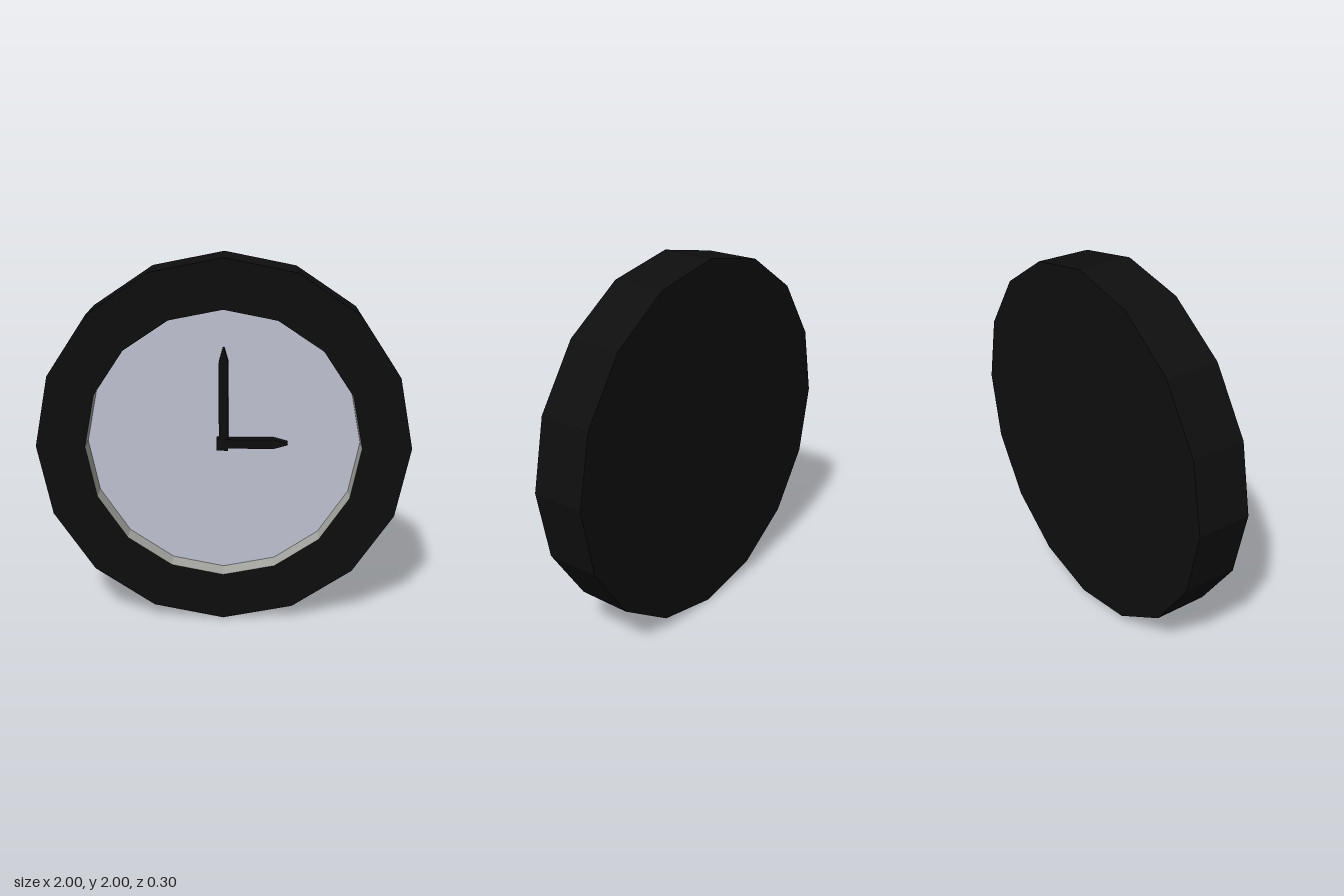
import * as THREE from 'three';

const SIDES = 16;
const DEPTH = 0.15;   // half the case thickness
const INNER = 0.737;  // radius of the dial opening
const DIAL_Z = 0.035;

// Faceted solid of revolution around the z axis, from [radius, z] points.
function turned(points) {
  const lathe = new THREE.LatheGeometry(points.map(([r, z]) => new THREE.Vector2(r, z)), SIDES);
  lathe.rotateX(Math.PI / 2);
  const flat = lathe.toNonIndexed();
  flat.computeVertexNormals();
  return flat;
}

// Pointed hand lying along +y, its back on z = 0.
function handGeometry(length, tip, width, thickness) {
  const w = width / 2;
  const shape = new THREE.Shape([
    new THREE.Vector2(-w, -w), new THREE.Vector2(w, -w),
    new THREE.Vector2(w, length - tip), new THREE.Vector2(0.004, length),
    new THREE.Vector2(-0.004, length), new THREE.Vector2(-w, length - tip),
  ]);
  return new THREE.ExtrudeGeometry(shape, { depth: thickness, bevelEnabled: false });
}

export function createModel() {
  const black = new THREE.MeshStandardMaterial({ name: 'black', color: 0x0e0e0e });
  const dialGrey = new THREE.MeshStandardMaterial({ name: 'dialGrey', color: 0xc0c4d2 });
  const rimGrey = new THREE.MeshStandardMaterial({ name: 'rimGrey', color: 0xa8a8a4 });

  const clock = new THREE.Group();
  clock.name = 'wallClock';
  const add = (name, geometry, material, x = 0, y = 0, z = 0) => {
    const mesh = new THREE.Mesh(geometry, material);
    mesh.name = name;
    mesh.position.set(x, y + 1, z);
    clock.add(mesh);
    return mesh;
  };

  // Case: closed back, outer wall and front ring
  add('case', turned([[0, -DEPTH], [1, -DEPTH], [1, DEPTH], [INNER, DEPTH]]), black);
  // Inner wall of the recess and the dial at its bottom
  add('innerRim', turned([[INNER, DEPTH], [INNER, DIAL_Z]]), rimGrey);
  add('dial', turned([[INNER, DIAL_Z], [0, DIAL_Z]]), dialGrey);

  // Hands pointing to three o'clock, with a square hub
  add('minuteHand', handGeometry(0.52, 0.075, 0.05, 0.056), black, 0, 0, DIAL_Z);
  add('hourHand', handGeometry(0.345, 0.075, 0.05, 0.054), black, 0, 0, DIAL_Z).rotation.z = -Math.PI / 2;
  add('hub', new THREE.BoxGeometry(0.062, 0.062, 0.058), black, -0.006, -0.005, DIAL_Z + 0.029);

  return clock;
}
